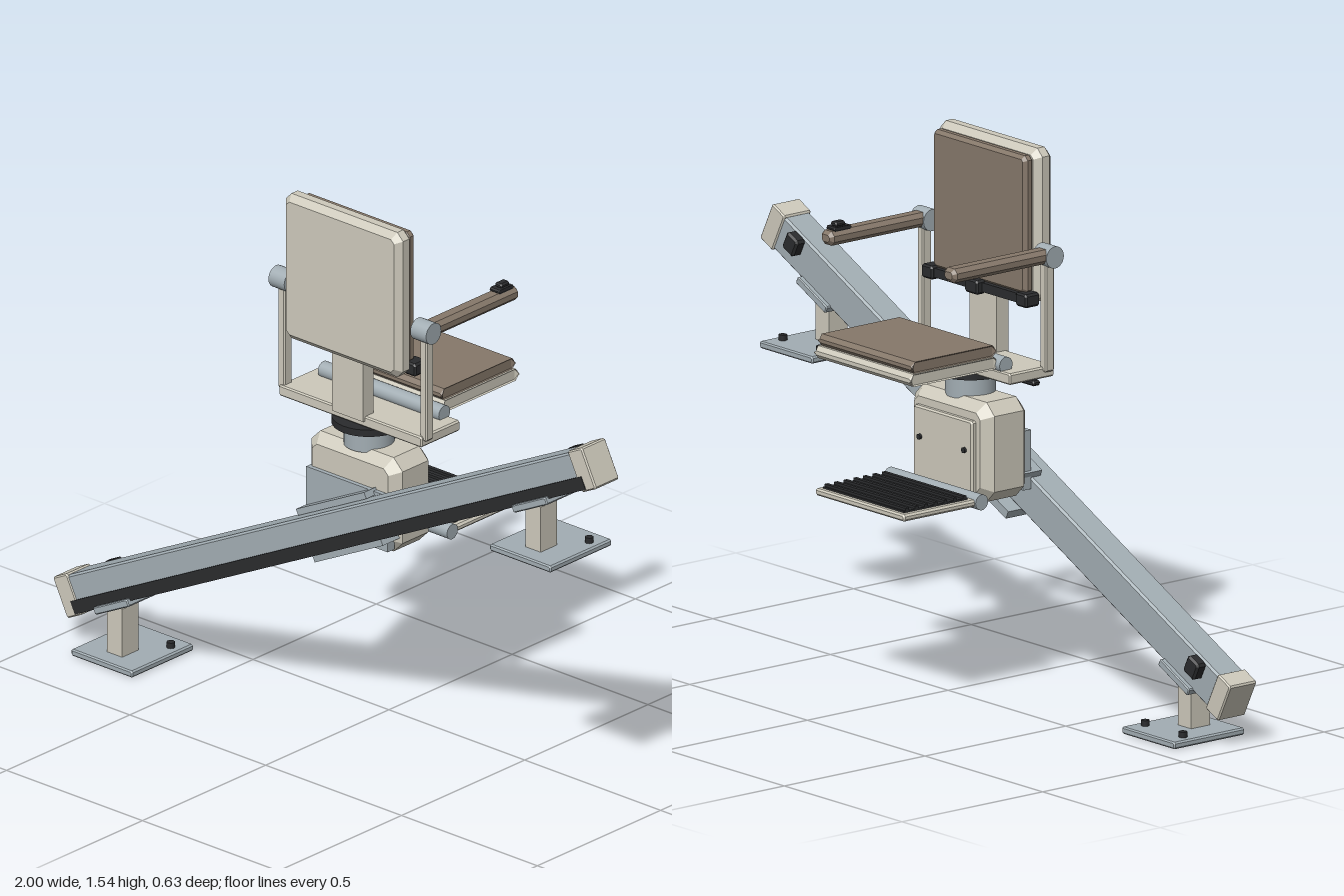
import * as THREE from 'three';

const mat = (name, color) => Object.assign(new THREE.MeshStandardMaterial({ color }), { name });

export function createModel() {
  const cream = mat('cream', 0xcdc9bb), steel = mat('blue grey steel', 0xa2adb3);
  const brown = mat('brown upholstery', 0x86786a), black = mat('black rubber', 0x2a2b2d);
  const model = new THREE.Group();
  model.name = 'stairLift';

  const add = (parent, name, geo, material, x, y, z) => {
    const m = new THREE.Mesh(geo, material);
    m.name = name;
    m.position.set(x, y, z);
    parent.add(m);
    return m;
  };
  // Box given by its limits on each axis; c chamfers every edge
  const box = (parent, name, material, [x0, x1], [y0, y1], [z0, z1], c = 0) => {
    const w = x1 - x0, h = y1 - y0, d = z1 - z0;
    let geo;
    if (c) {
      const a = w / 2 - c, b = h / 2 - c, k = c * 0.6;
      const s = new THREE.Shape([[a, -b + k], [a, b - k], [a - k, b], [k - a, b], [-a, b - k], [-a, k - b], [k - a, -b], [a - k, -b]]
        .map(([x, y]) => new THREE.Vector2(x, y)));
      geo = new THREE.ExtrudeGeometry(s, { depth: d - 2 * c, bevelSize: c, bevelThickness: c, bevelSegments: 1 });
      geo.translate(0, 0, c - d / 2);
    } else geo = new THREE.BoxGeometry(w, h, d);
    return add(parent, name, geo, material, (x0 + x1) / 2, (y0 + y1) / 2, (z0 + z1) / 2);
  };
  // Cylinder along the x, y or z axis
  const cyl = (parent, name, material, r, len, axis, x, y, z, sides = 24) => {
    const geo = new THREE.CylinderGeometry(r, r, len, sides);
    if (axis === 'x') geo.rotateZ(Math.PI / 2);
    if (axis === 'z') geo.rotateX(Math.PI / 2);
    return add(parent, name, geo, material, x, y, z);
  };

  // Sloping rail, built level and then tilted
  const rail = new THREE.Group();
  rail.name = 'rail';
  rail.position.set(0, 0.614, 0);
  rail.rotation.z = 0.4625;
  model.add(rail);
  box(rail, 'railBeam', steel, [-1.06, 1.06], [-0.055, 0.055], [0.17, 0.26], 0.006);
  box(rail, 'gearRack', black, [-1.05, 1.05], [-0.054, -0.016], [0.255, 0.265]);
  for (const s of [-1, 1]) {
    const u = [s * 1.058 - 0.03, s * 1.058 + 0.03];
    box(rail, 'railEndCap', cream, u, [-0.06, 0.06], [0.166, 0.263], 0.004);
    box(rail, 'endStop', black, [s * 0.952 - 0.026, s * 0.952 + 0.026], [0, 0.055], [0.137, 0.171], 0.006);
    box(rail, 'carriageJaw', steel, [-0.14, 0.14], s < 0 ? [-0.08, -0.056] : [0.056, 0.075], [0.13, 0.202]);
  }

  // Floor stands at the two ends
  for (const [x, y, top] of [[-0.772, 0, 0.163], [0.768, 0.776, 0.93]]) {
    const stand = new THREE.Group();
    stand.name = 'stand';
    model.add(stand);
    box(stand, 'basePlate', steel, [x - 0.113, x + 0.113], [y, y + 0.02], [0.065, 0.315], 0.004);
    box(stand, 'standPost', cream, [x - 0.028, x + 0.028], [y + 0.018, top], [0.195, 0.262]);
    const saddle = box(stand, 'saddle', steel, [x - 0.07, x + 0.07], [top - 0.008, top + 0.014], [0.155, 0.278], 0.003);
    saddle.rotation.z = rail.rotation.z;
    for (const s of [-1, 1]) cyl(stand, 'anchorBolt', black, 0.012, 0.018, 'y', x + s * 0.08, y + 0.027, 0.122, 8);
  }

  // Drive carriage
  const carriage = new THREE.Group();
  carriage.name = 'carriage';
  model.add(carriage);
  box(carriage, 'housing', cream, [-0.17, 0.166], [0.555, 0.835], [-0.005, 0.155], 0.028);
  box(carriage, 'mountPlate', steel, [-0.152, 0.148], [0.57, 0.737], [0.14, 0.168]);
  box(carriage, 'accessPanel', cream, [-0.125, 0.125], [0.58, 0.785], [-0.02, 0], 0.005);
  for (const s of [-1, 1]) cyl(carriage, 'panelScrew', black, 0.008, 0.01, 'z', s * 0.095, 0.7, -0.022, 10);
  cyl(carriage, 'guideRoller', steel, 0.02, 0.04, 'z', -0.02, 0.553, 0.147, 16);

  // Swivel between carriage and seat
  cyl(carriage, 'swivelColumn', steel, 0.07, 0.07, 'y', 0, 0.86, 0.08, 32);
  cyl(carriage, 'swivelRing', black, 0.103, 0.02, 'y', 0, 0.897, 0.08, 32);
  box(carriage, 'swivelLever', black, [-0.28, -0.19], [0.9, 0.915], [0.07, 0.095], 0.004);

  // Folding footrest
  const foot = new THREE.Group();
  foot.name = 'footrest';
  model.add(foot);
  box(foot, 'footPlate', cream, [-0.19, 0.19], [0.565, 0.585], [-0.315, -0.05], 0.005);
  box(foot, 'footMat', black, [-0.172, 0.172], [0.585, 0.59], [-0.3, -0.075]);
  for (let i = 0; i < 7; i++) box(foot, 'matRidge', black, [-0.172, 0.172], [0.589, 0.597], [-0.295 + i * 0.034, -0.283 + i * 0.034]);
  cyl(foot, 'footHinge', steel, 0.022, 0.39, 'x', 0, 0.576, -0.043);
  for (const s of [-1, 1]) box(foot, 'hingeBracket', cream, [s * 0.1 - 0.02, s * 0.1 + 0.02], [0.565, 0.587], [-0.045, 0.02]);

  // Seat
  const seat = new THREE.Group();
  seat.name = 'seat';
  model.add(seat);
  box(seat, 'seatFrame', cream, [-0.263, 0.263], [0.912, 0.944], [0, 0.158], 0.004);
  box(seat, 'seatPan', cream, [-0.22, 0.215], [0.946, 0.981], [-0.306, 0.005], 0.012);
  box(seat, 'seatCushion', brown, [-0.215, 0.21], [0.98, 1.014], [-0.297, 0.003], 0.012);
  cyl(seat, 'seatHinge', steel, 0.023, 0.445, 'x', 0, 0.958, 0.02);

  // Backrest with lap belt
  const back = new THREE.Group();
  back.name = 'backrest';
  model.add(back);
  box(back, 'backPost', cream, [-0.06, 0.055], [0.93, 1.2], [0.122, 0.165]);
  box(back, 'backShell', cream, [-0.218, 0.214], [1.11, 1.542], [0.135, 0.196], 0.018);
  box(back, 'backCushion', brown, [-0.2, 0.196], [1.135, 1.525], [0.106, 0.14], 0.01);
  box(back, 'lapBelt', black, [-0.222, 0.222], [1.112, 1.138], [0.098, 0.122]);
  box(back, 'beltBuckle', black, [-0.028, 0.028], [1.105, 1.145], [0.08, 0.112], 0.005);
  for (const s of [-1, 1]) box(back, 'beltAnchor', black, [s * 0.2 - 0.024, s * 0.2 + 0.024], [1.105, 1.143], [0.09, 0.14], 0.005);

  // Armrests on upright supports
  for (const s of [-1, 1]) {
    const arm = new THREE.Group();
    arm.name = s > 0 ? 'leftArmrest' : 'rightArmrest';
    model.add(arm);
    const x = s * 0.261;
    box(arm, 'armSupport', cream, [x - 0.013, x + 0.013], [0.93, 1.25], [0.118, 0.15], 0.004);
    cyl(arm, 'armHinge', steel, 0.031, 0.058, 'x', x, 1.255, 0.138);
    box(arm, 'armPad', brown, [x - 0.026, x + 0.026], [1.238, 1.278], [-0.217, 0.135], 0.01);
    if (s > 0) {
      box(arm, 'controlPad', black, [x - 0.022, x + 0.022], [1.276, 1.288], [-0.2, -0.14], 0.004);
      box(arm, 'controlToggle', black, [x - 0.013, x + 0.013], [1.286, 1.3], [-0.19, -0.155], 0.004);
    }
  }
  return model;
}
